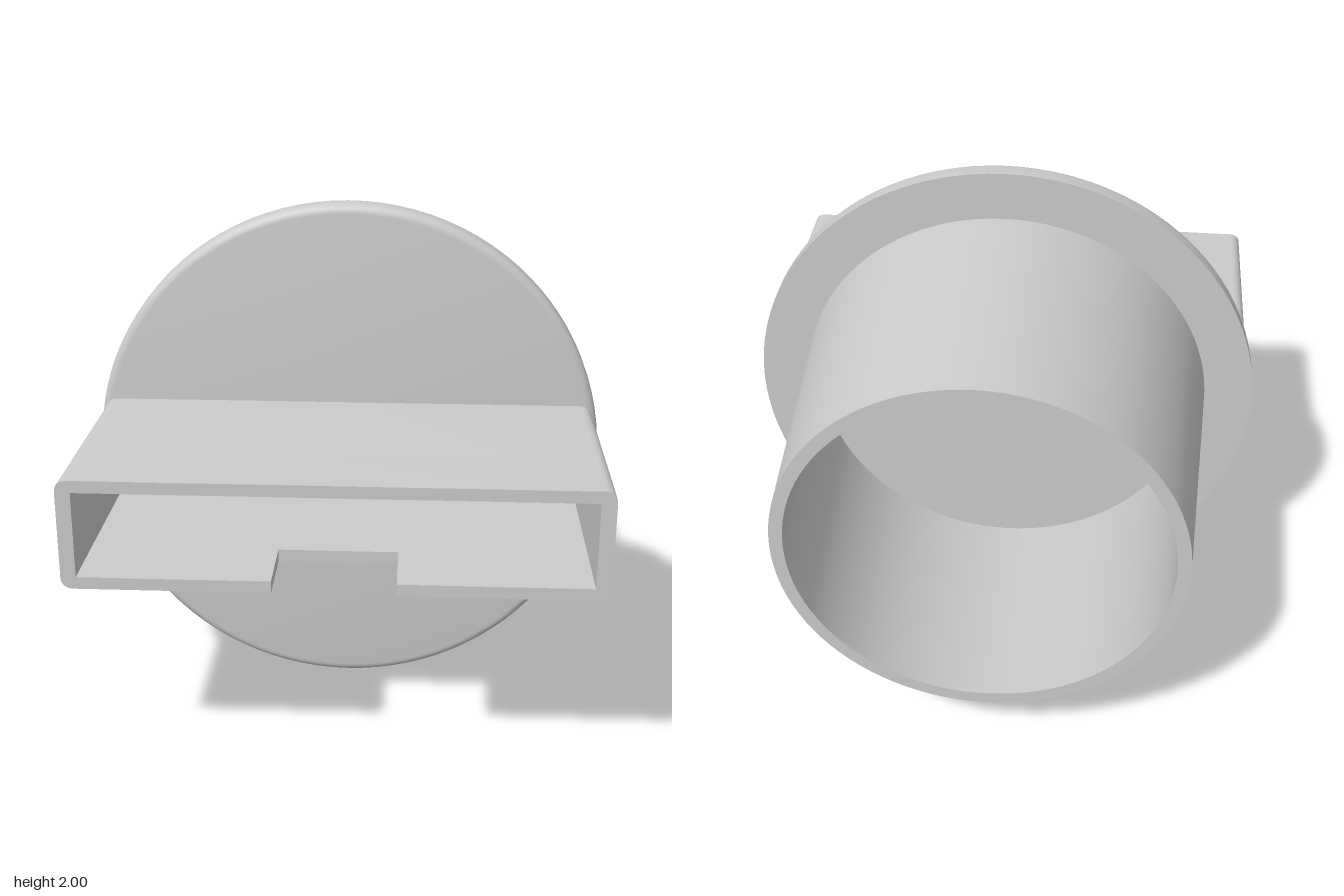
import * as THREE from 'three';
import { toCreasedNormals } from 'three/addons/utils/BufferGeometryUtils.js';

const material = new THREE.MeshStandardMaterial({ color: 0xcccccc });
const CENTER_Y = 1;

function addMesh(group, name, geometry) {
  const mesh = new THREE.Mesh(toCreasedNormals(geometry, 0.5), material);
  mesh.name = name;
  group.add(mesh);
}

// Turns a [radius, z] profile around the z axis
function turned(profile) {
  const points = profile.map(([r, z]) => new THREE.Vector2(r, z));
  return new THREE.LatheGeometry(points, 96).rotateX(Math.PI / 2).translate(0, CENTER_Y, 0);
}

function extruded(shape, z0, z1) {
  return new THREE.ExtrudeGeometry(shape, { depth: z1 - z0, bevelEnabled: false, curveSegments: 5 })
    .translate(0, 0, z0);
}

export function createModel() {
  const model = new THREE.Group();
  model.name = 'adapter';

  // Round flange with a rounded front edge
  const back = 0.01, front = 0.1, edge = 0.035;
  const flange = [[0, back], [1, back]];
  for (let i = 0; i <= 5; i++) {
    const a = (i / 5) * Math.PI / 2;
    flange.push([1 - edge + edge * Math.cos(a), front - edge + edge * Math.sin(a)]);
  }
  flange.push([0, front]);
  addMesh(model, 'flange', turned(flange));

  // Hollow tapered spigot, open at the back
  addMesh(model, 'taperedSpigot', turned([[0.76, back], [0.705, -0.99], [0.755, -0.99], [0.81, back]]));

  // Flat rectangular nozzle
  const X = 0.965, bottom = 0.8, top = 1.21, r = 0.04;
  const x = 0.91, low = 0.845, high = 1.165, notch = 0.22;
  const notchBack = 0.72, tip = 0.99;

  // Outer outline, counter-clockwise from one point on the bottom edge to another
  function outline(startX, endX) {
    const s = new THREE.Shape();
    s.moveTo(startX, bottom);
    s.lineTo(X - r, bottom);
    s.absarc(X - r, bottom + r, r, -Math.PI / 2, 0);
    s.absarc(X - r, top - r, r, 0, Math.PI / 2);
    s.absarc(-X + r, top - r, r, Math.PI / 2, Math.PI);
    s.absarc(-X + r, bottom + r, r, Math.PI, Math.PI * 1.5);
    s.lineTo(endX, bottom);
    return s;
  }

  // Closed section next to the flange
  const closed = outline(0, 0);
  closed.holes.push(new THREE.Path([[-x, low], [-x, high], [x, high], [x, low]]
    .map(([px, py]) => new THREE.Vector2(px, py))));
  addMesh(model, 'nozzleBody', extruded(closed, 0.05, notchBack));

  // Tip section with the notch through its lower wall
  const open = outline(notch, -notch);
  for (const [px, py] of [[-notch, low], [-x, low], [-x, high], [x, high], [x, low], [notch, low]]) {
    open.lineTo(px, py);
  }
  open.closePath();
  addMesh(model, 'notchedNozzleTip', extruded(open, notchBack, tip));

  return model;
}
